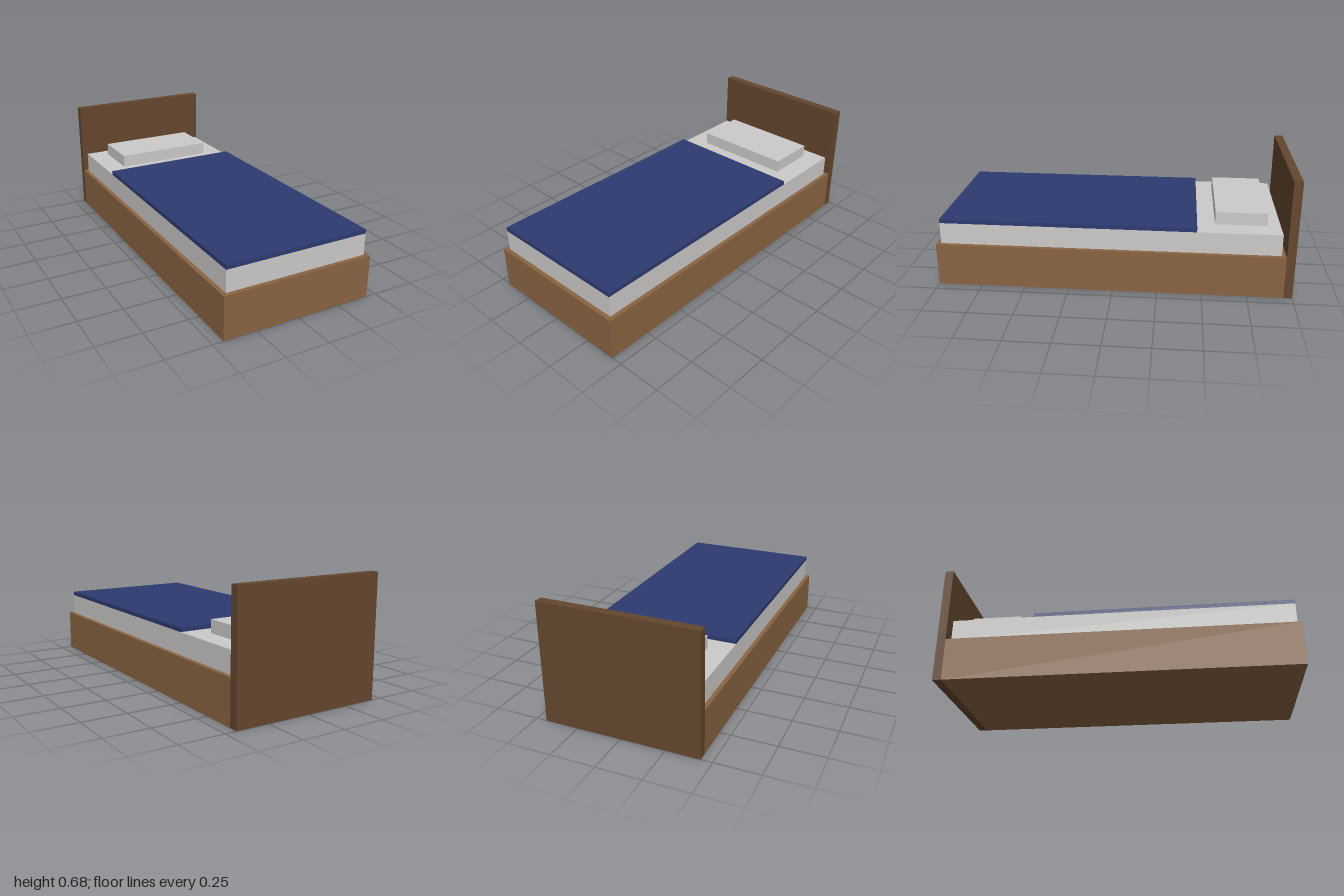
import * as THREE from 'three';

function material(name, color) {
  const m = new THREE.MeshStandardMaterial({ color });
  m.name = name;
  return m;
}

export function createModel() {
  const bed = new THREE.Group();
  bed.name = 'bed';

  const oak = material('oak brown', 0x8a6442);
  const walnut = material('dark walnut', 0x64472e);
  const linen = material('pale linen', 0xcccbc9);
  const navy = material('navy blue', 0x2d3a70);

  // Box centred on x, given its half width and its y and z ranges
  function slab(name, mat, halfWidth, y0, y1, z0, z1) {
    const mesh = new THREE.Mesh(new THREE.BoxGeometry(2 * halfWidth, y1 - y0, z1 - z0), mat);
    mesh.position.set(0, (y0 + y1) / 2, (z0 + z1) / 2);
    mesh.name = name;
    bed.add(mesh);
  }

  // Wooden parts
  slab('frame', oak, 0.439, 0, 0.245, -0.951, 1);
  slab('headboard', walnut, 0.439, 0, 0.683, -1, -0.951);

  // Bedding
  slab('mattress', linen, 0.415, 0.245, 0.368, -0.927, 0.976);
  slab('blanket', navy, 0.415, 0.368, 0.391, -0.463, 0.976);
  slab('pillow', linen, 0.293, 0.368, 0.441, -0.854, -0.564);

  return bed;
}
